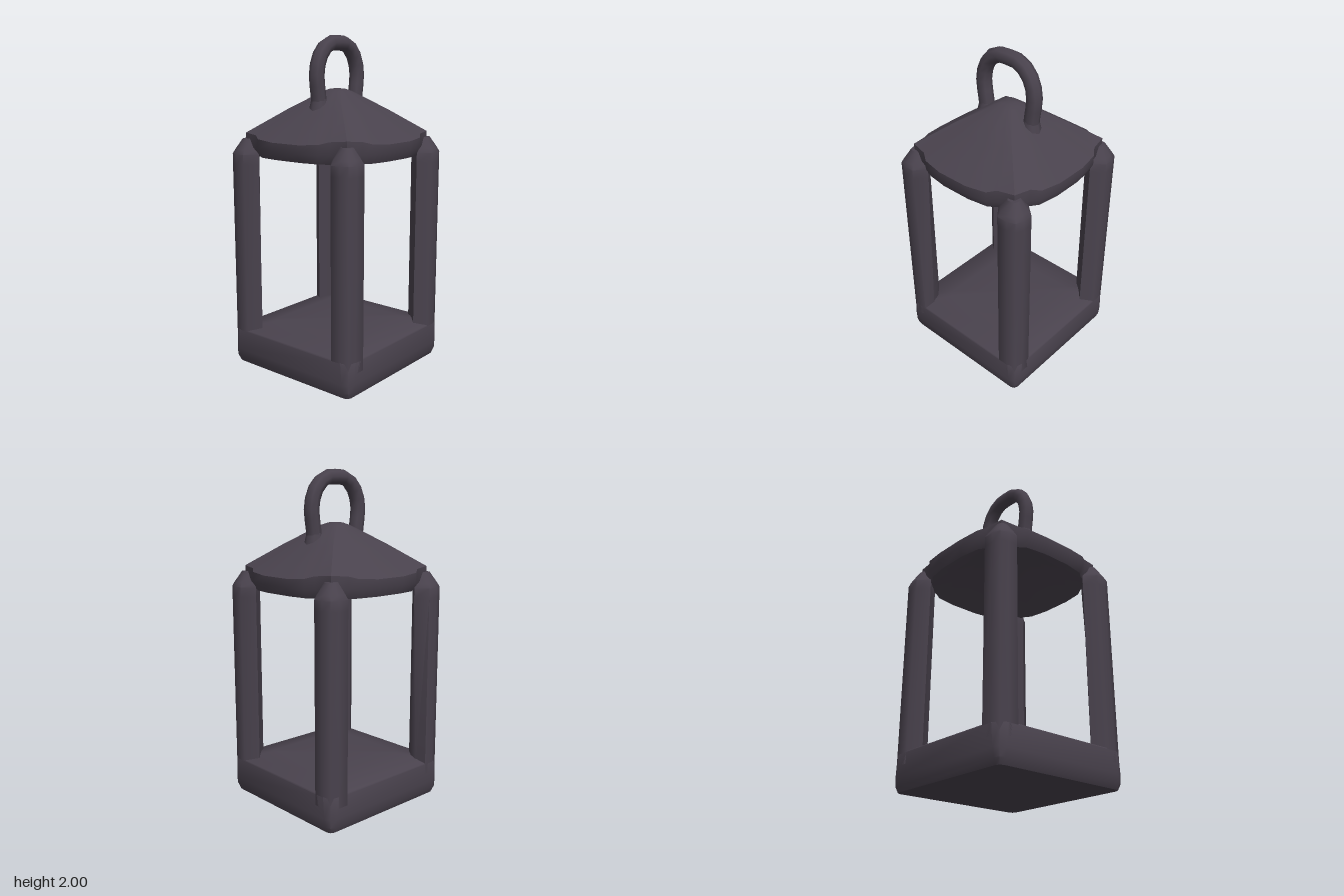
import * as THREE from 'three';
import { toCreasedNormals } from 'three/addons/utils/BufferGeometryUtils.js';

// Solid from successive rings of [x, y, z], each counterclockwise seen from above
function loft(rings, crease) {
  const pos = [];
  const n = rings[0].length;
  const tri = (...p) => p.forEach((v) => pos.push(...v));
  const centre = (r) => [0, 1, 2].map((k) => r.reduce((s, p) => s + p[k], 0) / n);
  const first = rings[0], last = rings[rings.length - 1];
  const c0 = centre(first), c1 = centre(last);
  for (let i = 0; i < n; i++) {
    const j = (i + 1) % n;
    for (let k = 0; k < rings.length - 1; k++) {
      const a = rings[k], b = rings[k + 1];
      tri(a[i], a[j], b[j]);
      tri(a[i], b[j], b[i]);
    }
    tri(c0, first[j], first[i]);
    tri(c1, last[i], last[j]);
  }
  const g = new THREE.BufferGeometry();
  g.setAttribute('position', new THREE.Float32BufferAttribute(pos, 3));
  return toCreasedNormals(g, crease);
}

// Repeat one side's [x, z] points around the four sides
function fourSides(side) {
  const out = [];
  for (let q = 0; q < 4; q++) {
    for (const p of side) {
      let [x, z] = p;
      for (let t = 0; t < q; t++) [x, z] = [z, -x];
      out.push([x, z]);
    }
  }
  return out;
}

export function createModel() {
  const iron = new THREE.MeshStandardMaterial({ color: 0x49424d });
  iron.name = 'dark iron';
  const group = new THREE.Group();
  group.name = 'lantern';
  const add = (name, geometry) => {
    const mesh = new THREE.Mesh(geometry, iron);
    mesh.name = name;
    group.add(mesh);
  };

  // Base block with softened edges and a slightly raised floor
  const square = (h, c, y) =>
    fourSides([[h - c, h], [h - c * 0.3, h - c * 0.3], [h, h - c]]).map(([x, z]) => [x, y, z]);
  add('base', loft([
    square(0.44, 0.03, 0.005), square(0.455, 0.04, 0.04), square(0.46, 0.05, 0.09),
    square(0.46, 0.06, 0.215), square(0.455, 0.06, 0.222), square(0.28, 0.03, 0.26),
  ], 0.8));

  // Corner posts: rounded outside, bevelled inside; one narrows toward the base
  const section = [[0.33, 0.46], [0.395, 0.46], [0.443, 0.443], [0.46, 0.395], [0.46, 0.335],
    [0.39, 0.275], [0.335, 0.335], [0.275, 0.39]];
  for (const sx of [-1, 1]) {
    for (const sz of [-1, 1]) {
      const ring = (y, narrow, inset) => {
        const pts = section.map(([x, z]) => {
          const px = x < 0.33 ? x + narrow : x;
          return [sx * (0.37 + (px - 0.37) * inset), y, sz * (0.37 + (z - 0.37) * inset)];
        });
        return sx * sz < 0 ? pts.reverse() : pts;
      };
      const taper = sx < 0 ? 0.045 : 0;
      add('cornerPost', loft([
        ring(0.15, taper, 1), ring(1.25, 0, 1), ring(1.31, 0, 1),
        ring(1.335, 0, 0.85), ring(1.4, 0, 0.4),
      ], 0.95));
    }
  }

  // Hollow pyramid roof with bowed eaves, cut in around the posts
  const eave = fourSides([[0.385, 0.385], [0.405, 0.28], [0.44, 0.23], [0.46, 0.1],
    [0.46, -0.1], [0.44, -0.23], [0.405, -0.28]]);
  const roofRing = (scale, y, lift = 0) => eave.map(([x, z]) =>
    [x * scale, y + (0.46 - Math.max(Math.abs(x), Math.abs(z))) * lift, z * scale]);
  add('roof', loft([
    roofRing(0.1, 1.6), roofRing(0.9, 1.32), roofRing(0.95, 1.3),
    roofRing(1, 1.35), roofRing(1, 1.4, 0.45),
    roofRing(0.55, 1.55, 0.25), roofRing(0.16, 1.675), roofRing(0.08, 1.69),
  ], 0.75));

  // Carrying ring
  const half = [[0.165, 1.53], [0.17, 1.64], [0.185, 1.78], [0.155, 1.88], [0.085, 1.945]];
  const path = [
    ...half.map(([x, y]) => new THREE.Vector3(-x, y, 0)),
    new THREE.Vector3(0, 1.955, 0),
    ...half.slice().reverse().map(([x, y]) => new THREE.Vector3(x, y, 0)),
  ];
  add('handle', new THREE.TubeGeometry(new THREE.CatmullRomCurve3(path), 18, 0.045, 8));

  // Flared feet where the ring meets the roof
  for (const s of [-1, 1]) {
    const foot = new THREE.CylinderGeometry(0.044, 0.065, 0.09, 8);
    foot.translate(s * 0.167, 1.59, 0);
    add('handleFoot', foot);
  }

  return group;
}
